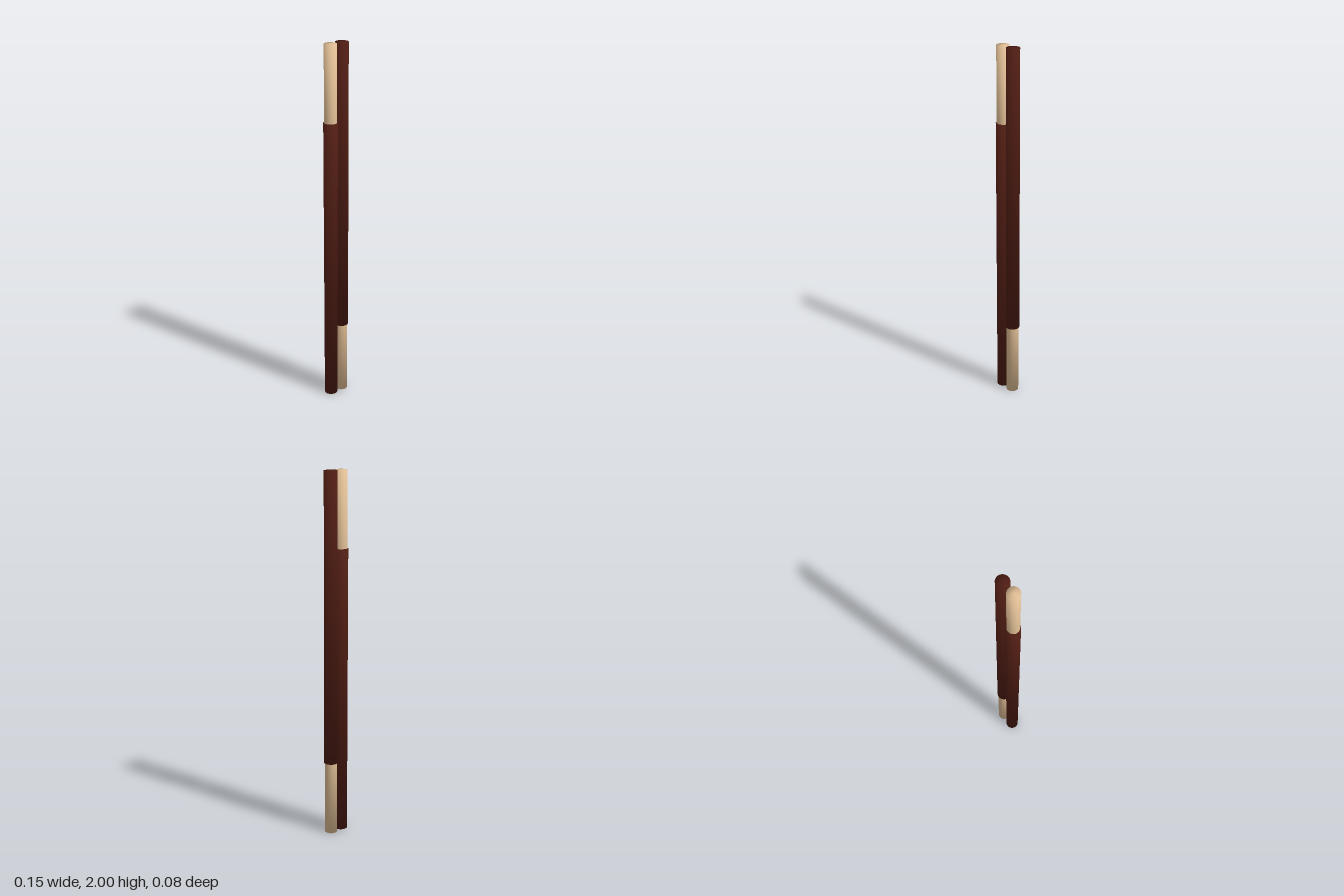
import * as THREE from 'three';

const dark = new THREE.MeshStandardMaterial({ color: 0x4d1c12 });
const pale = new THREE.MeshStandardMaterial({ color: 0xdfbd94 });

// Closed round bar from y0 to y1; shading runs smoothly over the rims into the caps.
function bar(name, material, r0, r1, y0, y1, tilt0, tilt1) {
  const profile = [[0, y0], [r0, y0], [r1, y1], [0, y1]].map(([r, y]) => new THREE.Vector2(r, y));
  const geo = new THREE.LatheGeometry(profile, 32);
  const pos = geo.attributes.position, normal = geo.attributes.normal;
  const n = new THREE.Vector3();
  for (let i = 0; i < pos.count; i++) {
    const x = pos.getX(i), z = pos.getZ(i), r = Math.hypot(x, z);
    const bottom = pos.getY(i) < (y0 + y1) / 2;
    if (r < 1e-5) n.set(0, bottom ? -1 : 1, 0);
    else n.set(x / r, bottom ? -tilt0 : tilt1, z / r).normalize();
    normal.setXYZ(i, n.x, n.y, n.z);
  }
  const mesh = new THREE.Mesh(geo, material);
  mesh.name = name;
  return mesh;
}

// One stick, centred on its own middle: tapered handle below, pale tip above.
function stick(name) {
  const g = new THREE.Group();
  g.name = name;
  g.add(bar('handle', dark, 0.0353, 0.038, -1, 0.59, 0.8, 0.8));
  g.add(bar('tip', pale, 0.0338, 0.0338, 0.58, 1, 0, 0.8));
  return g;
}

export function createModel() {
  const model = new THREE.Group();
  model.name = 'pairOfSticks';

  // The two sticks lie side by side, head to tail
  const right = stick('rightStick');
  right.position.set(-0.038, 1, 0);
  const left = stick('leftStick');
  left.position.set(0.038, 1, 0);
  left.rotation.z = Math.PI;
  model.add(right, left);
  return model;
}
